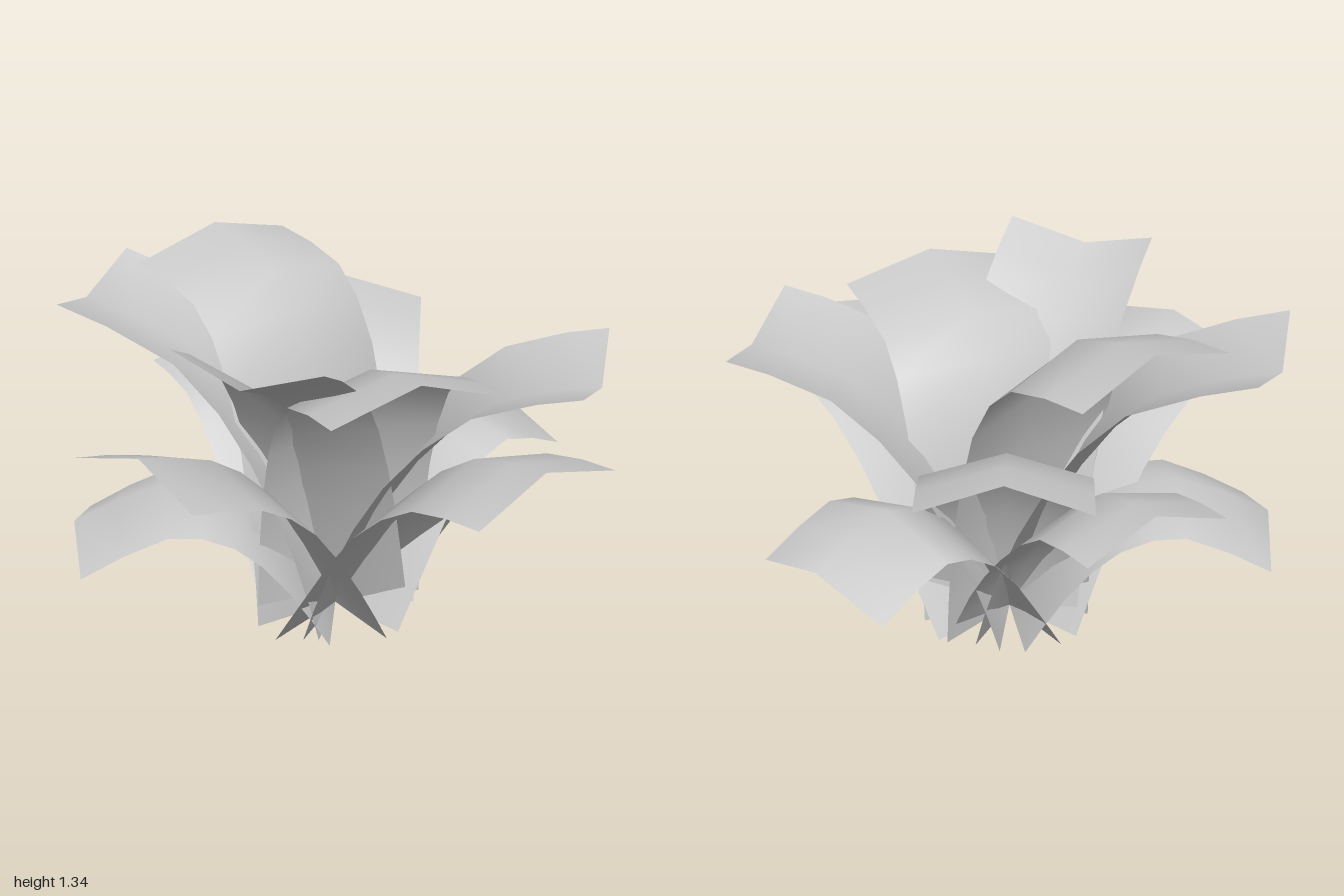
import * as THREE from 'three';

const SEGMENTS = 8;
const material = new THREE.MeshStandardMaterial({ color: 0xcccccc, side: THREE.DoubleSide });

// A strip with a central crease, bent along a midrib that rises from the shared base.
// Midrib points are [distance from centre, height]; fold 1 lowers the edges, -1 raises them.
function leafGeometry(width, midrib, fold) {
  const base = new THREE.Vector2(0, 0.04);
  const curve = new THREE.SplineCurve([base, ...midrib.map(([r, y]) => new THREE.Vector2(r, y))]);
  const geometry = new THREE.PlaneGeometry(width, 1, 2, SEGMENTS);
  const pos = geometry.attributes.position;
  for (let i = 0; i < pos.count; i++) {
    const t = 1 - Math.floor(i / 3) / SEGMENTS;
    const rib = curve.getPoint(t), along = curve.getTangent(t);
    // Edges leave the midrib along its normal, more so toward the tip
    const drop = i % 3 === 1 ? 0 : fold * (0.04 + 0.055 * t);
    pos.setXYZ(i, -pos.getX(i), rib.y - drop * along.x, rib.x + drop * along.y);
  }
  geometry.computeVertexNormals();
  return geometry;
}

export function createModel() {
  const plant = new THREE.Group();
  plant.name = 'leafyPlant';

  // Heading in degrees: 0 points to the front, 90 to the left
  function addLeaf(name, heading, width, midrib, fold = 1) {
    const leaf = new THREE.Mesh(leafGeometry(width, midrib, fold), material);
    leaf.name = name;
    leaf.position.x = -0.03;
    leaf.rotation.y = THREE.MathUtils.degToRad(heading);
    plant.add(leaf);
  }

  // Low, spreading leaves
  addLeaf('backLeaf', 180.5, 0.6, [[0.13, 0.27], [0.33, 0.56], [0.6, 0.705], [0.935, 0.605]]);
  addLeaf('lowFrontRightLeaf', -40.6, 0.58, [[0.14, 0.28], [0.34, 0.49], [0.62, 0.56], [0.965, 0.41]]);

  // Middle leaves
  addLeaf('frontLeaf', 1.5, 0.61, [[0.13, 0.3], [0.345, 0.63], [0.6, 0.84], [0.92, 0.955]]);
  addLeaf('leftLeaf', 89, 0.66, [[0.16, 0.3], [0.4, 0.65], [0.7, 0.89], [1.025, 0.955]]);
  addLeaf('rightLeaf', 258, 0.57, [[0.13, 0.3], [0.33, 0.58], [0.58, 0.81], [0.877, 0.866]]);
  addLeaf('backRightLeaf', 223.5, 0.59, [[0.08, 0.36], [0.22, 0.69], [0.46, 0.95], [0.84, 1.04]]);

  // Upturned leaves with raised edges
  addLeaf('backLeftLeaf', 122.3, 0.66, [[0.12, 0.34], [0.31, 0.67], [0.6, 0.94], [0.96, 1.03]], -1);
  addLeaf('highFrontRightLeaf', -61.5, 0.62, [[0.1, 0.34], [0.27, 0.69], [0.54, 1.01], [0.965, 1.16]], -1);
  addLeaf('highFrontLeftLeaf', 22.7, 0.56, [[0.1, 0.36], [0.23, 0.7], [0.44, 1.04], [0.76, 1.22]], -1);

  // Tall leaves arching over the top
  addLeaf('topRightLeaf', 265.6, 0.67, [[0.02, 0.45], [0.13, 0.98], [0.35, 1.28], [0.72, 1.36]]);
  addLeaf('topLeftLeaf', 70, 0.66, [[0.02, 0.4], [0.11, 0.82], [0.31, 1.12], [0.71, 1.22]]);
  return plant;
}
